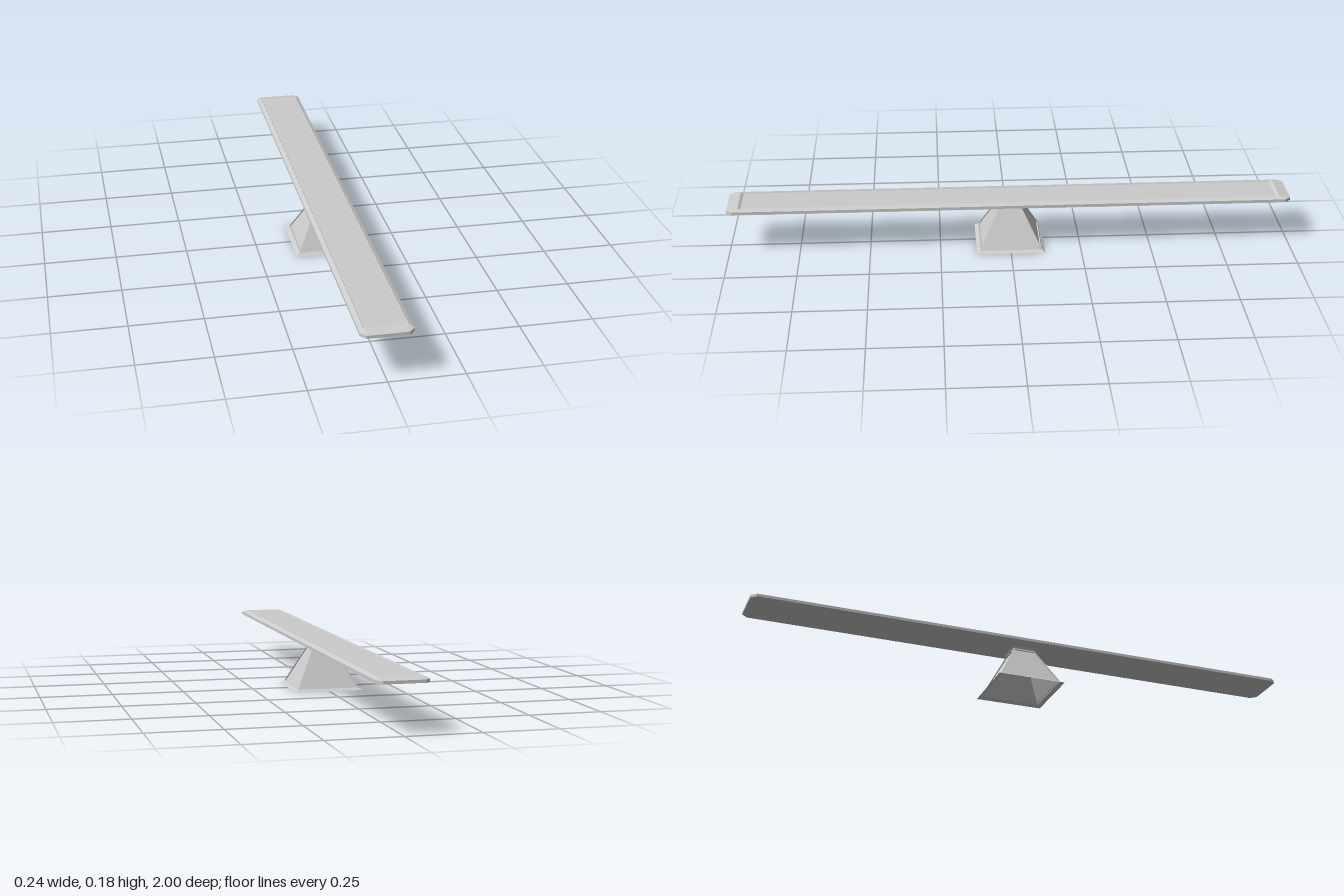
import * as THREE from 'three';

const material = new THREE.MeshStandardMaterial({
  color: 0xcccccc, flatShading: true, side: THREE.DoubleSide,
});

// Flat-shaded mesh from polygons (corner loops, counter-clockwise from outside)
function polygonMesh(name, polygons) {
  const pos = [];
  const a = new THREE.Vector3(), b = new THREE.Vector3();
  for (const p of polygons) {
    for (let i = 1; i < p.length - 1; i++) {
      a.subVectors(p[i], p[0]);
      b.subVectors(p[i + 1], p[0]);
      if (a.cross(b).length() < 1e-9) continue; // skip collapsed corners
      for (const v of [p[0], p[i], p[i + 1]]) pos.push(v.x, v.y, v.z);
    }
  }
  const g = new THREE.BufferGeometry();
  g.setAttribute('position', new THREE.Float32BufferAttribute(pos, 3));
  g.computeVertexNormals();
  const mesh = new THREE.Mesh(g, material);
  mesh.name = name;
  return mesh;
}

// Quads joining two loops of equal length
const bridge = (lo, hi) => lo.map((p, i) => {
  const j = (i + 1) % lo.length;
  return [p, lo[j], hi[j], hi[i]];
});

// Rectangle with cut corners, lying at height y
function ring(y, hx, hz, cx = 0, cz = 0) {
  return [
    [hx - cx, hz], [hx, hz - cz], [hx, cz - hz], [hx - cx, -hz],
    [cx - hx, -hz], [-hx, cz - hz], [-hx, hz - cz], [cx - hx, hz],
  ].map(([x, z]) => new THREE.Vector3(x, y, z));
}

// Long board with bevelled edges and a shallow tray in its top
function makePlank() {
  const rings = [
    ring(0.16, 0.085, 1, 0.017, 0.02),
    ring(0.17, 0.085, 1, 0.017, 0.02),
    ring(0.177, 0.07, 0.96),
    ring(0.171, 0.067, 0.95),
  ];
  const polygons = [[...rings[0]].reverse(), rings[3]];
  for (let i = 0; i < 3; i++) polygons.push(...bridge(rings[i], rings[i + 1]));
  return polygonMesh('plank', polygons);
}

// Hollow four-sided stand: flared foot, framed recessed panels, flared lip
function makeFulcrum() {
  const group = new THREE.Group();
  group.name = 'fulcrum';
  const foot = [0.11, 0.008], neck = [0.039, 0.146];
  const slope = (neck[0] - foot[0]) / (neck[1] - foot[1]);
  const depthAt = (y) => foot[0] + (y - foot[1]) * slope;
  const inward = new THREE.Vector3(0, slope, -1).normalize().multiplyScalar(0.004);

  // Trapezoid between two [half width, height] pairs, on the sloping side
  const trapezoid = ([w0, y0], [w1, y1]) => [
    [-w0, y0], [w0, y0], [w1, y1], [-w1, y1],
  ].map(([x, y]) => new THREE.Vector3(x, y, depthAt(y)));
  const band = ([r0, y0], [r1, y1]) => [
    [-r0, y0, r0], [r0, y0, r0], [r1, y1, r1], [-r1, y1, r1],
  ].map((c) => new THREE.Vector3(...c));

  const outer = trapezoid(foot, neck);
  const inner = trapezoid([0.104, 0.013], [0.038, 0.141]);
  const panel = inner.map((p) => p.clone().add(inward));
  const side = [
    band([0.122, 0], foot),
    ...bridge(outer, inner),
    ...bridge(inner, panel),
    panel,
    band(neck, [0.044, 0.153]),
  ];
  for (let k = 0; k < 4; k++) {
    const mesh = polygonMesh('fulcrumSide', side);
    mesh.rotation.y = k * Math.PI / 2;
    group.add(mesh);
  }
  group.add(polygonMesh('fulcrumTop', [ring(0.153, 0.044, 0.044)]));
  return group;
}

export function createModel() {
  const model = new THREE.Group();
  model.name = 'seesaw';
  model.add(makeFulcrum(), makePlank());
  return model;
}
